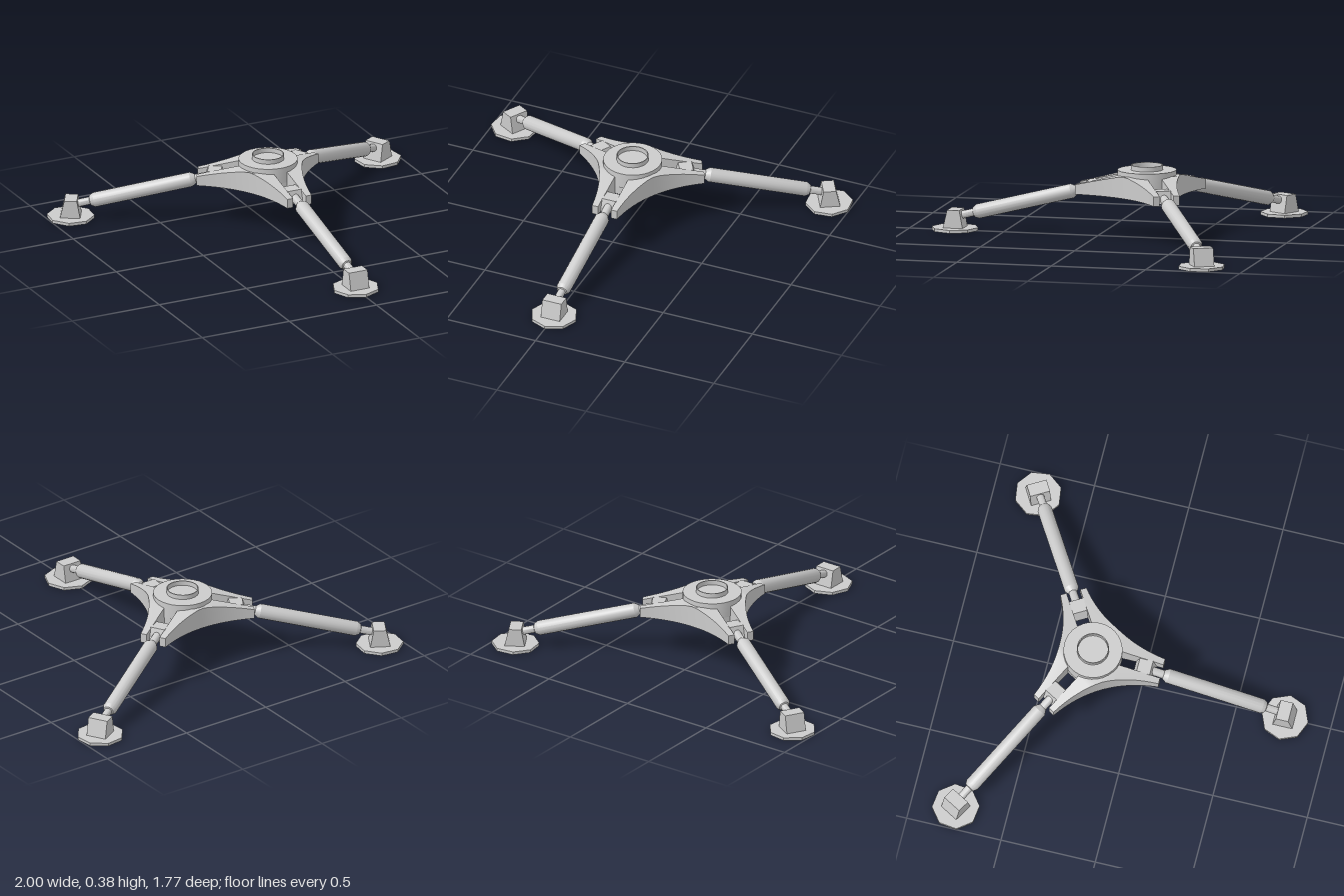
import * as THREE from 'three';
import { toCreasedNormals } from 'three/addons/utils/BufferGeometryUtils.js';

const mat = new THREE.MeshStandardMaterial({ color: 0xcccccc, side: THREE.DoubleSide });
const THIRD = (Math.PI * 2) / 3;

function add(parent, name, geometry, crease = 0.5) {
  const mesh = new THREE.Mesh(toCreasedNormals(geometry, crease), mat);
  mesh.name = name;
  parent.add(mesh);
  return mesh;
}

// Block tapering towards the top along z
function wedge(width, y0, y1, bottom, top) {
  const g = new THREE.BoxGeometry(width, 1, 1);
  const p = g.attributes.position;
  for (let i = 0; i < p.count; i++) {
    const up = p.getY(i) > 0;
    p.setY(i, up ? y1 : y0);
    p.setZ(i, (up ? top : bottom)[p.getZ(i) > 0 ? 1 : 0]);
  }
  return g;
}

// Three-armed body: slotted arms joined by concave sides, tops sloping outwards
function bodyGeometry() {
  const shape = new THREE.Shape();
  const spin = (x, r, k) => {
    const c = Math.cos(k * THIRD), s = Math.sin(k * THIRD);
    return [x * c + r * s, x * s - r * c];
  };
  for (let k = 0; k < 3; k++) {
    if (k === 0) shape.moveTo(...spin(-0.07, 0.365, 0));
    shape.lineTo(...spin(-0.037, 0.365, k));
    shape.lineTo(...spin(-0.037, 0.145, k));
    shape.lineTo(...spin(0.037, 0.145, k));
    shape.lineTo(...spin(0.037, 0.365, k));
    shape.lineTo(...spin(0.07, 0.365, k));
    shape.quadraticCurveTo(...spin(0.095, 0.055, k), ...spin(-0.07, 0.365, k + 1));
  }
  const g = new THREE.ExtrudeGeometry(shape, { depth: 1, bevelEnabled: false, curveSegments: 16 });
  g.rotateX(-Math.PI / 2);
  const p = g.attributes.position;
  for (let i = 0; i < p.count; i++) {
    let along = 0;
    for (let k = 0; k < 3; k++) {
      along = Math.max(along, p.getX(i) * Math.sin(k * THIRD) + p.getZ(i) * Math.cos(k * THIRD));
    }
    const top = Math.min(0.335, 0.272 + 0.24 * (0.365 - along));
    p.setY(i, p.getY(i) > 0.5 ? top : 0.222);
  }
  return g;
}

function createLeg() {
  const leg = new THREE.Group();
  leg.name = 'leg';

  // Hinge block held between the arm cheeks
  add(leg, 'hingeBlock', wedge(0.078, 0.226, 0.29, [0.22, 0.33], [0.24, 0.31]));

  // Strut with thin rod ends and tapered shoulders
  const from = new THREE.Vector3(0, 0.25, 0.31);
  const dir = new THREE.Vector3(0, 0.0755, 1.0).sub(from);
  const profile = [
    [0, 0], [0.022, 0], [0.022, 0.065], [0.027, 0.072], [0.038, 0.09],
    [0.038, 0.605], [0.027, 0.625], [0.02, 0.628], [0.02, 0.712], [0, 0.712],
  ].map(([r, t]) => new THREE.Vector2(r, t));
  const strut = add(leg, 'strut', new THREE.LatheGeometry(profile, 16));
  strut.position.copy(from);
  strut.quaternion.setFromUnitVectors(new THREE.Vector3(0, 1, 0), dir.normalize());

  // Foot: ankle block on an octagonal pad
  add(leg, 'ankleBlock', wedge(0.106, 0.014, 0.109, [0.965, 1.07], [0.983, 1.048]));
  const pad = add(leg, 'footPad', new THREE.CylinderGeometry(0.123, 0.123, 0.016, 8));
  pad.position.set(0, 0.008, 1.018);
  return leg;
}

export function createModel() {
  const model = new THREE.Group();
  model.name = 'tripodBase';
  model.position.z = -0.26;

  add(model, 'body', bodyGeometry());

  // Round hub with a shallow raised collar
  const hub = add(model, 'hub', new THREE.CylinderGeometry(0.152, 0.152, 0.085, 32));
  hub.position.y = 0.3125;
  const collar = [[0.083, 0.35], [0.083, 0.38], [0.078, 0.38], [0.078, 0.35]]
    .map(([r, y]) => new THREE.Vector2(r, y));
  add(model, 'collar', new THREE.LatheGeometry(collar, 24));

  for (let k = 0; k < 3; k++) {
    const leg = createLeg();
    leg.rotation.y = k * THIRD;
    model.add(leg);
  }

  const root = new THREE.Group();
  root.name = 'model';
  root.add(model);
  return root;
}
